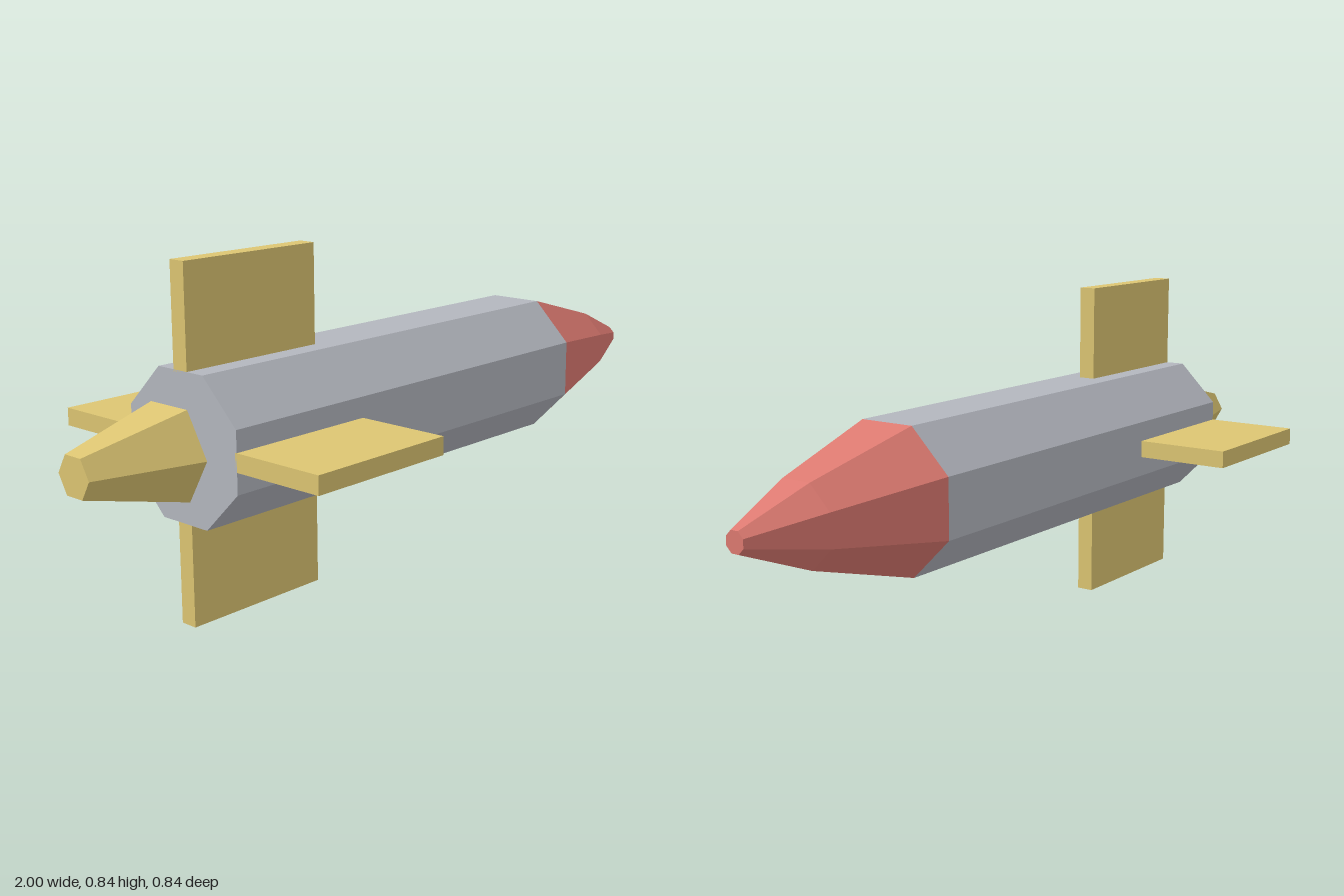
import * as THREE from 'three';

const AXIS_Y = 0.4215; // height of the rocket's long axis

function material(name, color) {
  const m = new THREE.MeshStandardMaterial({ color, flatShading: true });
  m.name = name;
  return m;
}

// Faceted solid along x; profile is a list of [corner radius, x], from tail to nose
function faceted(name, profile, sides, turn, mat) {
  const points = profile.map(([r, x]) => new THREE.Vector2(r, x));
  const geometry = new THREE.LatheGeometry(points, sides, turn);
  geometry.rotateZ(-Math.PI / 2);
  const mesh = new THREE.Mesh(geometry, mat);
  mesh.name = name;
  mesh.position.y = AXIS_Y;
  return mesh;
}

export function createModel() {
  const grey = material('hull grey', 0xb3b6be);
  const red = material('nose red', 0xdd7a71);
  const gold = material('fin gold', 0xdcc572);

  const rocket = new THREE.Group();
  rocket.name = 'rocket';

  // Octagonal hull and nose, with flats facing up, down and sideways
  const R = 0.1915;
  rocket.add(
    faceted('hull', [[0, -0.705], [R, -0.705], [R, 0.525], [0, 0.525]], 8, Math.PI / 8, grey),
    faceted('noseCone', [[R, 0.525], [0.104, 0.82], [0.027, 1], [0, 1]], 8, Math.PI / 8, red),
    // Hexagonal exhaust, tapering to the rear just behind the hull
    faceted('exhaust', [[0, -1], [0.052, -1], [0.121, -0.74], [0, -0.74]], 6, 0, gold)
  );

  // Four slab fins around the tail
  const inner = 0.172, outer = 0.4215;
  for (let i = 0; i < 4; i++) {
    const geometry = new THREE.BoxGeometry(0.4, outer - inner, 0.044);
    geometry.translate(-0.505, (outer + inner) / 2, 0);
    const fin = new THREE.Mesh(geometry, gold);
    fin.name = ['topFin', 'frontFin', 'bottomFin', 'backFin'][i];
    fin.position.y = AXIS_Y;
    fin.rotation.x = (i * Math.PI) / 2;
    rocket.add(fin);
  }
  return rocket;
}
